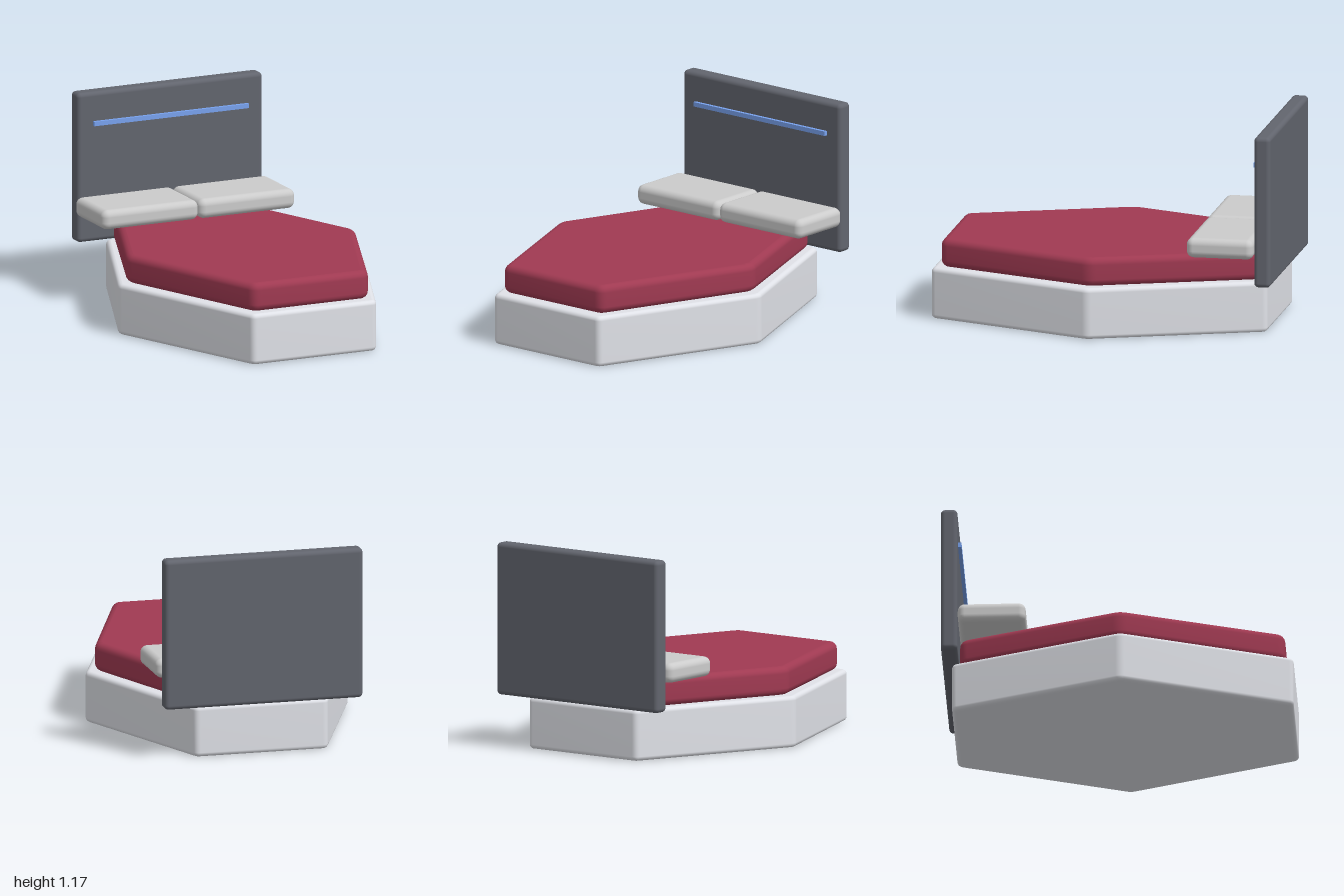
import * as THREE from 'three';
import { mergeVertices } from 'three/addons/utils/BufferGeometryUtils.js';
import { RoundedBoxGeometry } from 'three/addons/geometries/RoundedBoxGeometry.js';

function addPart(group, name, geometry, color) {
  const mesh = new THREE.Mesh(geometry, new THREE.MeshStandardMaterial({ color }));
  mesh.name = name;
  group.add(mesh);
  return mesh;
}

// Stretched hexagon slab with softened corners and bevelled rims
function hexSlab(tipX, zBack, zFront, y0, y1, soft, bevel) {
  const zMid = (zBack + zFront) / 2;
  const half = tipX / 2;
  const corners = [
    [tipX, zMid], [half, zFront], [-half, zFront],
    [-tipX, zMid], [-half, zBack], [half, zBack],
  ].map(([x, z]) => new THREE.Vector2(x, -z)).reverse();

  const shape = new THREE.Shape();
  corners.forEach((c, i) => {
    const prev = corners[(i + 5) % 6];
    const next = corners[(i + 1) % 6];
    const a = prev.clone().sub(c).setLength(soft).add(c);
    const b = next.clone().sub(c).setLength(soft).add(c);
    if (i === 0) shape.moveTo(a.x, a.y);
    else shape.lineTo(a.x, a.y);
    shape.quadraticCurveTo(c.x, c.y, b.x, b.y);
  });
  shape.closePath();

  const raw = new THREE.ExtrudeGeometry(shape, {
    depth: y1 - y0 - 2 * bevel, curveSegments: 5,
    bevelThickness: bevel, bevelSize: bevel, bevelOffset: -bevel, bevelSegments: 4,
  });
  raw.rotateX(-Math.PI / 2).translate(0, y0 + bevel, 0);
  // Shared vertices give area-weighted smooth normals: flat faces, soft rims
  raw.deleteAttribute('normal');
  raw.deleteAttribute('uv');
  const geometry = mergeVertices(raw, 1e-5);
  geometry.computeVertexNormals();
  return geometry;
}

// Rounded box given by its extents
function softBox(x0, x1, y0, y1, z0, z1, radius) {
  return new RoundedBoxGeometry(x1 - x0, y1 - y0, z1 - z0, 4, radius)
    .translate((x0 + x1) / 2, (y0 + y1) / 2, (z0 + z1) / 2);
}

export function createModel() {
  const bed = new THREE.Group();
  bed.name = 'hexagonalBed';

  // Plinth and mattress
  addPart(bed, 'base', hexSlab(0.775, -0.945, 1, 0, 0.295, 0.028, 0.025), 0xe0e2e8);
  addPart(bed, 'mattress', hexSlab(0.722, -0.9, 0.95, 0.295, 0.46, 0.045, 0.04), 0xa03a52);

  // Pair of pillows meeting in the middle
  addPart(bed, 'leftPillow', softBox(0, 0.608, 0.462, 0.576, -0.903, -0.516, 0.04), 0xcccccc);
  addPart(bed, 'rightPillow', softBox(-0.608, 0, 0.462, 0.576, -0.903, -0.516, 0.04), 0xcccccc);

  // Headboard with a light strip on its front
  addPart(bed, 'headboard', softBox(-0.584, 0.584, 0.3, 1.175, -1, -0.905, 0.025), 0x62656e);
  const strip = new THREE.BoxGeometry(0.974, 0.026, 0.03);
  addPart(bed, 'lightStrip', strip, 0x78a2ee).position.set(0, 0.993, -0.9);

  return bed;
}
